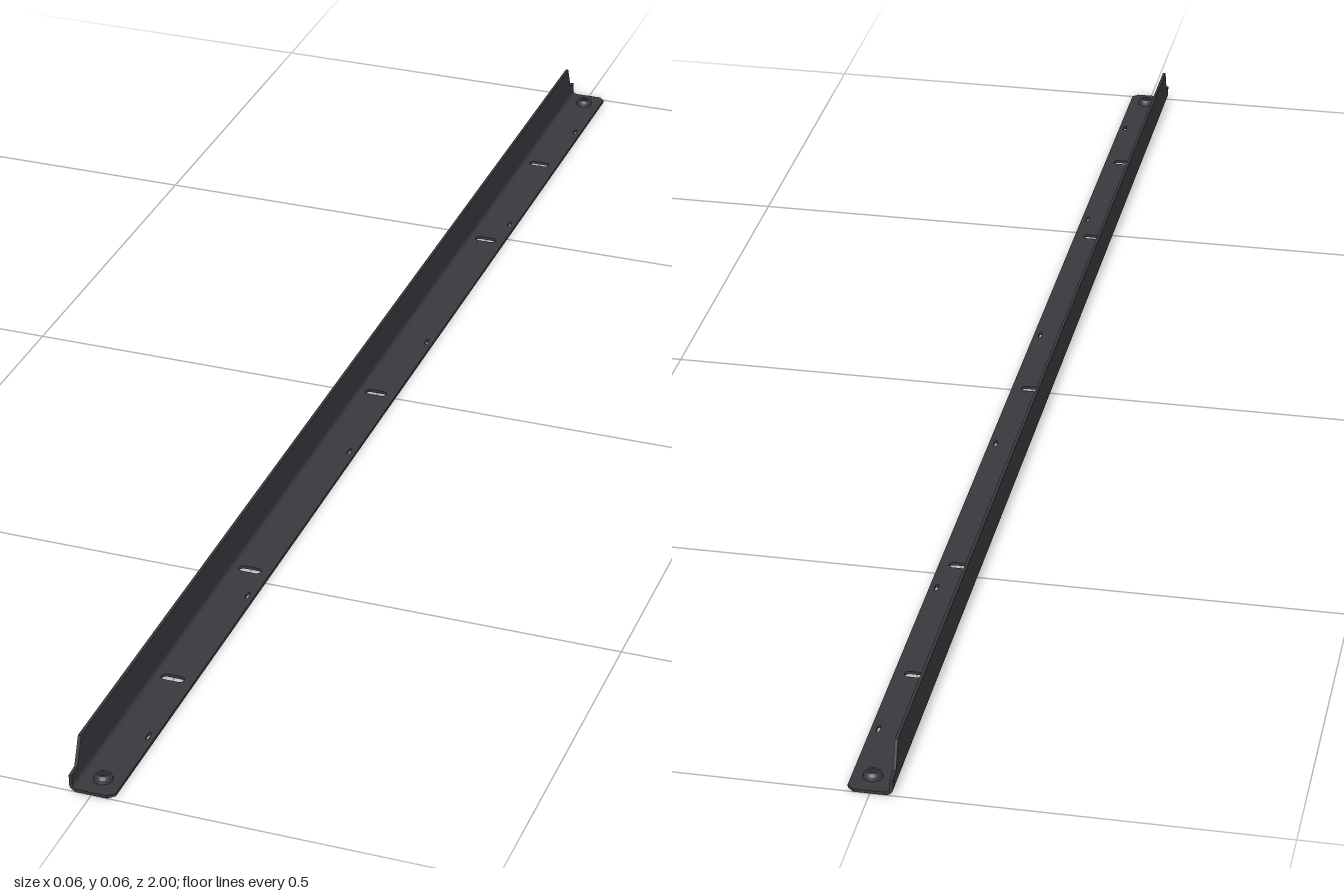
import * as THREE from 'three';

const T = 0.004;      // sheet thickness
const W = 0.028;      // half width
const R = 0.01;       // outer bend radius
const H = 0.059;      // flange height

const steel = new THREE.MeshStandardMaterial({ color: 0x39383d });

// Rounded slot outline, hx by hz half sizes
function slot(cx, cz, hx, hz) {
  const p = new THREE.Path();
  const r = Math.min(hx, hz);
  if (hx > hz) {
    p.absarc(cx + hx - r, cz, r, -Math.PI / 2, Math.PI / 2, false);
    p.absarc(cx - hx + r, cz, r, Math.PI / 2, Math.PI * 1.5, false);
  } else {
    p.absarc(cx, cz + hz - r, r, 0, Math.PI, false);
    p.absarc(cx, cz - hz + r, r, Math.PI, Math.PI * 2, false);
  }
  p.closePath();
  return p;
}

function extrude(shape, depth) {
  return new THREE.ExtrudeGeometry(shape, { depth, bevelEnabled: false, curveSegments: 8 });
}

export function createModel() {
  const group = new THREE.Group();
  const add = (name, geometry) => {
    const mesh = new THREE.Mesh(geometry, steel);
    mesh.name = name;
    group.add(mesh);
    return mesh;
  };

  // Base plate with clipped outer corners, cross slots and small edge slits
  const c = 0.008;
  const plate = new THREE.Shape([
    [-W + R, -1], [W - c, -1], [W, -1 + c], [W, 1 - c], [W - c, 1], [-W + R, 1],
  ].map(([x, z]) => new THREE.Vector2(x, z)));
  for (const z of [-0.745, -0.482, 0, 0.482, 0.745]) plate.holes.push(slot(0, z, 0.015, 0.006));
  for (const z of [-0.87, -0.54, -0.16, 0.16, 0.54, 0.87]) plate.holes.push(slot(0.019, z, 0.002, 0.007));
  add('basePlate', extrude(plate, T).rotateX(-Math.PI / 2));

  // Rounded bend between plate and flange
  const bend = new THREE.Shape();
  bend.absarc(-W + R, R, R, Math.PI, Math.PI * 1.5, false);
  bend.absarc(-W + R, R, R - T, Math.PI * 1.5, Math.PI, true);
  bend.closePath();
  add('bend', extrude(bend, 2).translate(0, 0, -1));

  // Upright flange with stepped, sloping ends
  const half = [[1, R], [1, 0.022], [0.983, 0.024], [0.969, H]];
  const outline = [...half, ...half.map(([z, y]) => [-z, y]).reverse()];
  const flange = new THREE.Shape(outline.map(([z, y]) => new THREE.Vector2(z, y)));
  add('flange', extrude(flange, T).rotateY(Math.PI / 2).translate(-W, 0, 0));

  // Domed end screws with a recessed socket
  const profile = [[0, 0.007], [0.004, 0.007], [0.004, 0.012], [0.007, 0.012], [0.0105, 0.0085], [0.012, T], [0, T]]
    .reverse().map(([x, y]) => new THREE.Vector2(x, y));
  for (const side of [-1, 1]) {
    const screw = add(side > 0 ? 'frontScrew' : 'backScrew',
      new THREE.LatheGeometry(profile, 20).toNonIndexed());
    screw.geometry.computeVertexNormals();
    screw.position.set(0.003, 0, side * 0.97);
  }
  return group;
}
